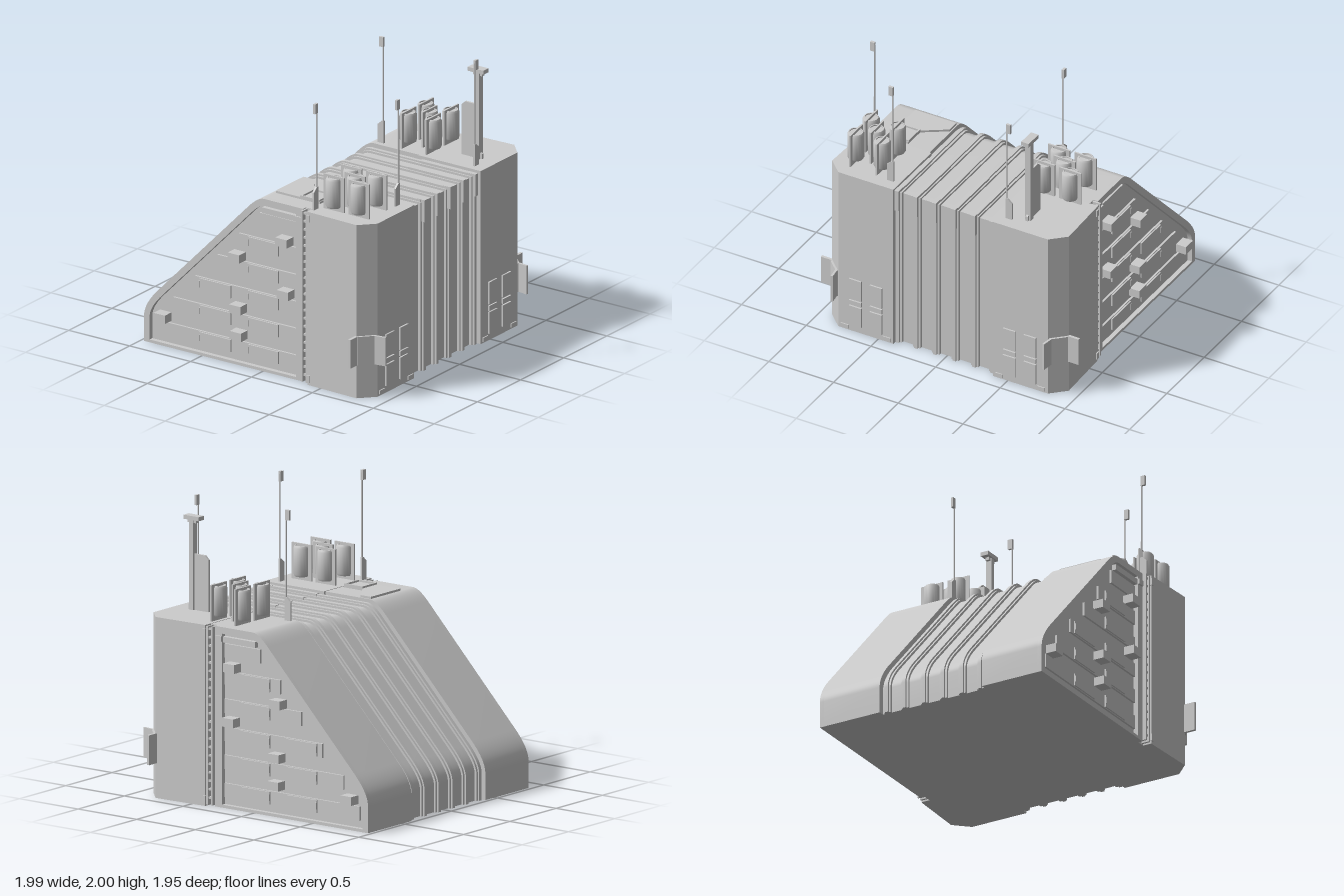
import * as THREE from 'three';
import { toCreasedNormals } from 'three/addons/utils/BufferGeometryUtils.js';

const mat = new THREE.MeshStandardMaterial({ color: 0xcccccc });

function add(parent, name, geo, x = 0, y = 0, z = 0) {
  const m = new THREE.Mesh(geo, mat);
  m.name = name;
  m.position.set(x, y, z);
  parent.add(m);
  return m;
}

// Box given by its min and max on each axis
function box(parent, name, x0, x1, y0, y1, z0, z1) {
  return add(parent, name, new THREE.BoxGeometry(x1 - x0, y1 - y0, z1 - z0),
    (x0 + x1) / 2, (y0 + y1) / 2, (z0 + z1) / 2);
}

// Side outline (drawn with -z to the right), inset by d, from the given front z
function outline(front, d, bottom = 0, Type = THREE.Shape) {
  const s = new Type(), sx = d * 0.72, sy = d * 0.69, back = 0.975 - d, top = 1.24 - d;
  s.moveTo(-front, bottom);
  s.lineTo(back, bottom);
  s.lineTo(back, 0.185);
  s.quadraticCurveTo(back, 0.27 - d * 0.4, 0.86 - sx, 0.39 - sy);
  s.lineTo(0.12 - sx, 1.157 - sy);
  s.quadraticCurveTo(0.04 - d * 0.4, top, -0.01 - d * 0.4, top);
  s.lineTo(-front, top);
  s.closePath();
  return s;
}

// Extrude a side outline from x0 to x1
function slab(parent, name, shape, x0, x1) {
  let g = new THREE.ExtrudeGeometry(shape, { depth: x1 - x0, bevelEnabled: false, curveSegments: 10 });
  g.rotateY(Math.PI / 2).translate(x0, 0, 0);
  return add(parent, name, toCreasedNormals(g, 0.5));
}

// Extrude a plan outline of [x, z] points from y0 to y1
function plan(parent, name, pts, y0, y1) {
  const s = new THREE.Shape(pts.map(([x, z]) => new THREE.Vector2(x, -z)));
  const g = new THREE.ExtrudeGeometry(s, { depth: y1 - y0, bevelEnabled: false });
  g.rotateX(-Math.PI / 2).translate(0, y0, 0);
  return add(parent, name, g);
}

// One side tower; k = 1 for left, -1 for right
function tower(root, k) {
  const g = new THREE.Group();
  g.name = k > 0 ? 'leftTower' : 'rightTower';
  root.add(g);
  const bx = (n, x0, x1, ...r) => box(g, n, ...(k > 0 ? [x0, x1] : [-x1, -x0]), ...r);
  const sl = (n, s, x0, x1) => slab(g, n, s, ...(k > 0 ? [x0, x1] : [-x1, -x0]));

  // Rear hull and the raised frame around its side wall
  sl('rearHull', outline(0.4, 0), 0.4, 0.835);
  const frame = outline(0.33, 0);
  frame.holes.push(outline(0.27, 0.045, 0.02, THREE.Path));
  sl('sideFrame', frame, 0.835, 0.868);

  // Chamfered front block
  const pts = [[0.385, 0.39], [0.385, 0.9], [0.81, 0.9], [0.915, 0.8], [0.9, 0.39]];
  plan(g, 'frontBlock', k > 0 ? pts : pts.map(([x, z]) => [-x, z]).reverse(), 0, 1.243);

  // Side wall slats with raised panels
  const ends = [-0.89, -0.75, -0.57, -0.39, -0.21];
  ends.forEach((end, i) => {
    const y = 0.07 + i * 0.193;
    bx('slat', 0.83, 0.85, y, y + 0.097, end, 0.265);
    bx('slatPanel', 0.84, 0.861, y + 0.005, y + 0.092, -0.13, 0.12);
    bx('slatLatch', 0.85, 0.866, y + 0.03, y + 0.075, -0.13, -0.12);
    if (i < 3) {
      bx('slatPanel', 0.84, 0.861, y + 0.005, y + 0.092, -0.53, -0.27);
      bx('slatLatch', 0.85, 0.866, y + 0.03, y + 0.075, -0.53, -0.52);
    }
  });
  bx('topSlat', 0.83, 0.85, 1.03, 1.125, -0.04, 0.265);
  bx('topSlat', 0.83, 0.866, 1.135, 1.175, -0.01, 0.265);
  bx('topLatch', 0.85, 0.88, 1.14, 1.178, 0.27, 0.32);

  // Protruding side lamps
  [[0.18, 0.975], [-0.21, 0.78], [0.19, 0.6], [-0.2, 0.41], [-0.195, 0.22], [-0.82, 0.21]]
    .forEach(([z, y]) => bx('sideLamp', 0.83, 0.913, y - 0.03, y + 0.03, z - 0.047, z + 0.047));

  // Ladder in the channel between the blocks
  for (const z of [0.338, 0.378]) bx('ladderRail', 0.83, 0.895, 0.01, 1.235, z - 0.007, z + 0.007);
  for (let y = 0.05; y < 1.22; y += 0.058) bx('ladderRung', 0.865, 0.885, y, y + 0.014, 0.338, 0.378);
  for (const y of [0.045, 1.195]) bx('ladderBracket', 0.86, 0.908, y - 0.025, y + 0.025, 0.385, 0.41);

  // Front panels and bumpers
  for (const x of [0.515, 0.675])
    for (const [y0, y1] of [[0.05, 0.205], [0.215, 0.25], [0.26, 0.42]])
      bx('frontPanel', x - 0.047, x + 0.047, y0, y1, 0.89, 0.912);
  for (const x of [0.435, 0.76]) bx('bumper', x - 0.03, x + 0.03, 0.012, 0.04, 0.89, 0.908);

  // Corner fins
  bx('sideFin', 0.9, 0.997, 0.24, 0.445, 0.79, 0.81);
  const fin = bx('frontFin', 0.817, 0.833, 0.24, 0.445, 0.87, 0.975);
  fin.rotation.y = -k * 0.15;
  const plate = add(g, 'cornerPlate', new THREE.BoxGeometry(0.13, 0.205, 0.03), k * 0.862, 0.342, 0.85);
  plate.rotation.y = k * 0.761;
}

// Cluster of five capped tanks, each held by a thin upright plate
function tankCluster(root, cx, cz, alongX) {
  const g = new THREE.Group();
  g.name = 'tankCluster';
  g.position.set(cx, 0, cz);
  root.add(g);
  const r = 0.058;
  const pts = [[0, 1.27], [r - 0.008, 1.27], [r, 1.285], [r, 1.465], [r - 0.008, 1.48], [r - 0.015, 1.48],
    [r - 0.015, 1.472], [0, 1.472]].map(p => new THREE.Vector2(...p));
  const tank = toCreasedNormals(new THREE.LatheGeometry(pts, 20), 0.6);
  for (const [x, z] of [[0, 0], [-0.102, -0.102], [0.102, -0.102], [-0.102, 0.102], [0.102, 0.102]]) {
    add(g, 'tank', tank, x, 0, z);
    const w = alongX ? 0.084 : 0.006, d = alongX ? 0.006 : 0.084;
    box(g, 'tankPlate', x - w, x + w, 1.235, 1.492, z - d, z + d);
  }
}

// Rod antenna; its fin foot and flag extend along (dx, dz)
function antenna(root, x, z, dx, dz) {
  const g = new THREE.Group();
  g.name = 'antenna';
  g.position.set(x, 0, z);
  g.rotation.y = Math.atan2(-dz, dx);
  root.add(g);
  add(g, 'antennaRod', new THREE.CylinderGeometry(0.005, 0.006, 0.74, 8), 0, 1.61, 0);
  box(g, 'antennaFlag', -0.003, 0.03, 1.93, 2, -0.009, 0.009);
  const s = new THREE.Shape([[-0.008, 1.23], [0.042, 1.23], [0.042, 1.37], [0.008, 1.4], [-0.008, 1.4]]
    .map(p => new THREE.Vector2(...p)));
  add(g, 'antennaFoot', new THREE.ExtrudeGeometry(s, { depth: 0.014, bevelEnabled: false }), 0, 0, -0.007);
}

export function createModel() {
  const root = new THREE.Group();
  root.name = 'towerBlock';
  tower(root, 1);
  tower(root, -1);

  // Central hull with stepped ribs running over it
  slab(root, 'centreHull', outline(0.84, 0.045), -0.41, 0.41);
  for (const x of [-0.37, -0.227, -0.08, 0.07, 0.222, 0.36]) {
    slab(root, 'ribBase', outline(0.86, 0.03), x - 0.028, x + 0.028);
    slab(root, 'ribCrest', outline(0.874, 0.018), x - 0.013, x + 0.013);
    box(root, 'ribClip', x - 0.016, x + 0.016, 1.07, 1.228, 0.82, 0.885);
    box(root, 'ribCap', x - 0.018, x + 0.018, 1.19, 1.226, 0.43, 0.85);
  }

  // Deck equipment
  tankCluster(root, -0.673, 0.622, false);
  tankCluster(root, 0.608, 0.322, true);
  antenna(root, -0.815, 0.405, -1, 0);
  antenna(root, -0.44, 0.81, -1, 0);
  antenna(root, 0.442, 0.81, 1, 0);
  antenna(root, 0.442, 0.06, 0, -1);

  // Roof hatch on its raised plate
  plan(root, 'hatchPlate', [[-0.73, 0.01], [-0.73, 0.37], [-0.575, 0.37], [-0.575, 0.21], [-0.41, 0.1], [-0.41, 0.01]], 1.2, 1.255);
  box(root, 'hatchRim', -0.732, -0.572, 1.25, 1.268, 0.21, 0.222);
  box(root, 'hatchRim', -0.732, -0.572, 1.25, 1.268, 0.355, 0.367);
  for (const x of [-0.732, -0.584]) box(root, 'hatchRim', x, x + 0.012, 1.25, 1.268, 0.21, 0.367);

  // Sensor mast with a flat head and a backing fin
  box(root, 'mast', 0.557, 0.6, 1.23, 1.86, 0.73, 0.765);
  box(root, 'mastHead', 0.55, 0.608, 1.862, 1.89, 0.675, 0.805);
  box(root, 'mastNeck', 0.565, 0.592, 1.84, 1.865, 0.71, 0.785);
  const fin = new THREE.Shape([[-0.78, 1.23], [-0.61, 1.23], [-0.61, 1.6], [-0.64, 1.628], [-0.73, 1.628], [-0.73, 1.3], [-0.78, 1.28]]
    .map(p => new THREE.Vector2(...p)));
  slab(root, 'mastFin', fin, 0.57, 0.586);
  return root;
}
